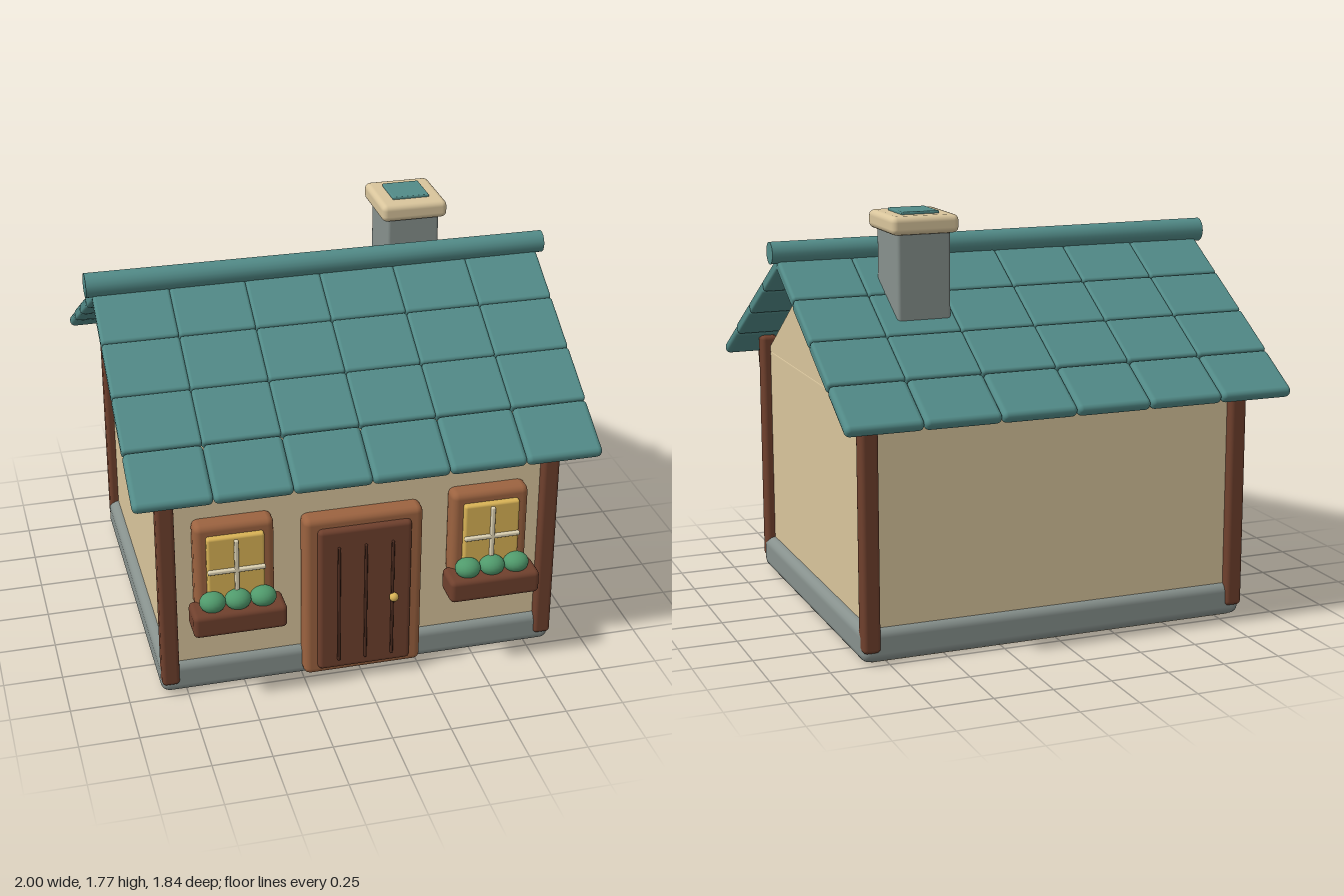
import * as THREE from 'three';
import { RoundedBoxGeometry } from 'three/addons/geometries/RoundedBoxGeometry.js';

function material(name, color) {
  const m = new THREE.MeshStandardMaterial({ color });
  m.name = name;
  return m;
}

export function createModel() {
  const plaster = material('plaster', 0xd9c59c);
  const stone = material('stone', 0x87918d);
  const timber = material('timber', 0x6f402d);
  const trim = material('trim', 0x9c6340);
  const tile = material('roof tile', 0x528b88);
  const glass = material('lit glass', 0xd9b356);
  const bar = material('window bar', 0xded3b4);
  const leaf = material('leaf', 0x509a6c);
  const groove = material('groove', 0x4a2a1e);

  const house = new THREE.Group();
  house.name = 'cottage';

  function add(parent, name, geometry, mat, x = 0, y = 0, z = 0) {
    const mesh = new THREE.Mesh(geometry, mat);
    mesh.name = name;
    mesh.position.set(x, y, z);
    parent.add(mesh);
    return mesh;
  }

  // Rounded block given by its minimum and maximum corners
  function block(parent, name, mat, [x0, y0, z0], [x1, y1, z1], radius) {
    const geometry = new RoundedBoxGeometry(x1 - x0, y1 - y0, z1 - z0, 2, radius);
    return add(parent, name, geometry, mat, (x0 + x1) / 2, (y0 + y1) / 2, (z0 + z1) / 2);
  }

  function group(name, x = 0) {
    const g = new THREE.Group();
    g.name = name;
    g.position.x = x;
    house.add(g);
    return g;
  }

  // Foundation, walls and gable
  block(house, 'foundation', stone, [-0.86, 0.003, -0.735], [0.86, 0.15, 0.735], 0.04);
  block(house, 'walls', plaster, [-0.82, 0, -0.71], [0.82, 1.035, 0.71], 0.012);
  const gableShape = new THREE.Shape([
    new THREE.Vector2(-0.71, 1.03),
    new THREE.Vector2(0.71, 1.03),
    new THREE.Vector2(0, 1.5),
  ]);
  const gable = new THREE.ExtrudeGeometry(gableShape, { depth: 1.64, bevelEnabled: false });
  gable.translate(0, 0, -0.82).rotateY(Math.PI / 2);
  add(house, 'gable', gable, plaster);

  // Corner posts and front beam
  for (const sx of [-1, 1]) {
    for (const sz of [-1, 1]) {
      const post = new RoundedBoxGeometry(0.075, 1.05, 0.075, 2, 0.018);
      add(house, 'cornerPost', post, timber, sx * 0.82, 0.575, sz * 0.711);
    }
  }
  block(house, 'frontBeam', timber, [-0.855, 0.955, 0.69], [0.855, 1.035, 0.77], 0.018);

  // Roof: two slopes of four rows by six columns
  const rows = 4, columns = 6, pitch = Math.PI / 6;
  const tileWidth = 1.945 / columns, tileLength = 0.264;
  const tileGeometry = new RoundedBoxGeometry(tileWidth, 0.05, tileLength, 2, 0.014);
  const eaveGeometry = new RoundedBoxGeometry(tileWidth, 0.05, tileLength, 2, 0.022);
  for (const side of [0, 1]) {
    const slope = group(side ? 'backRoof' : 'frontRoof');
    slope.position.y = 1.535;
    slope.rotation.set(pitch, side * Math.PI, 0, 'YXZ');
    for (let r = 0; r < rows; r++) {
      for (let c = 0; c < columns; c++) {
        const geometry = r === rows - 1 ? eaveGeometry : tileGeometry;
        add(slope, 'roofTile', geometry, tile,
          (c - (columns - 1) / 2) * tileWidth, 0, (r + 0.5) * tileLength);
      }
    }
  }
  const ridge = new THREE.CylinderGeometry(0.052, 0.047, 2, 20);
  ridge.rotateZ(Math.PI / 2);
  add(house, 'ridge', ridge, tile, 0, 1.582, 0);

  // Chimney
  const chimney = group('chimney');
  block(chimney, 'chimneyStack', stone, [0.345, 1.26, -0.4], [0.577, 1.72, -0.14], 0.015);
  block(chimney, 'chimneyCap', plaster, [0.315, 1.685, -0.428], [0.607, 1.762, -0.112], 0.025);
  block(chimney, 'chimneyFlue', tile, [0.38, 1.74, -0.36], [0.543, 1.773, -0.183], 0.005);

  // Door
  const door = group('door');
  block(door, 'doorFrame', trim, [-0.255, 0.03, 0.69], [0.255, 0.79, 0.785], 0.03);
  block(door, 'doorPanel', timber, [-0.2, 0.065, 0.74], [0.2, 0.745, 0.81], 0.02);
  for (const x of [-0.115, 0, 0.115]) {
    block(door, 'doorGroove', groove, [x - 0.006, 0.11, 0.808], [x + 0.006, 0.665, 0.824], 0.005);
  }
  add(door, 'doorKnob', new THREE.SphereGeometry(0.02, 16, 12), glass, 0.12, 0.395, 0.825);

  // Windows with planter boxes
  for (const side of [-1, 1]) {
    const win = group(side < 0 ? 'rightWindow' : 'leftWindow', side * 0.545);
    block(win, 'windowFrame', trim, [-0.167, 0.42, 0.69], [0.167, 0.825, 0.785], 0.03);
    block(win, 'windowPane', glass, [-0.12, 0.46, 0.74], [0.12, 0.778, 0.81], 0.012);
    block(win, 'verticalBar', bar, [-0.009, 0.475, 0.806], [0.009, 0.765, 0.826], 0.006);
    block(win, 'horizontalBar', bar, [-0.12, 0.616, 0.806], [0.12, 0.634, 0.826], 0.006);
    block(win, 'planterBox', timber, [-0.196, 0.36, 0.75], [0.196, 0.465, 0.89], 0.022);
    for (const x of [-0.106, 0, 0.106]) {
      const plant = add(win, 'plant', new THREE.SphereGeometry(0.055, 18, 12), leaf, x, 0.492, 0.828);
      plant.scale.set(1, 0.78, 0.92);
    }
  }

  return house;
}
